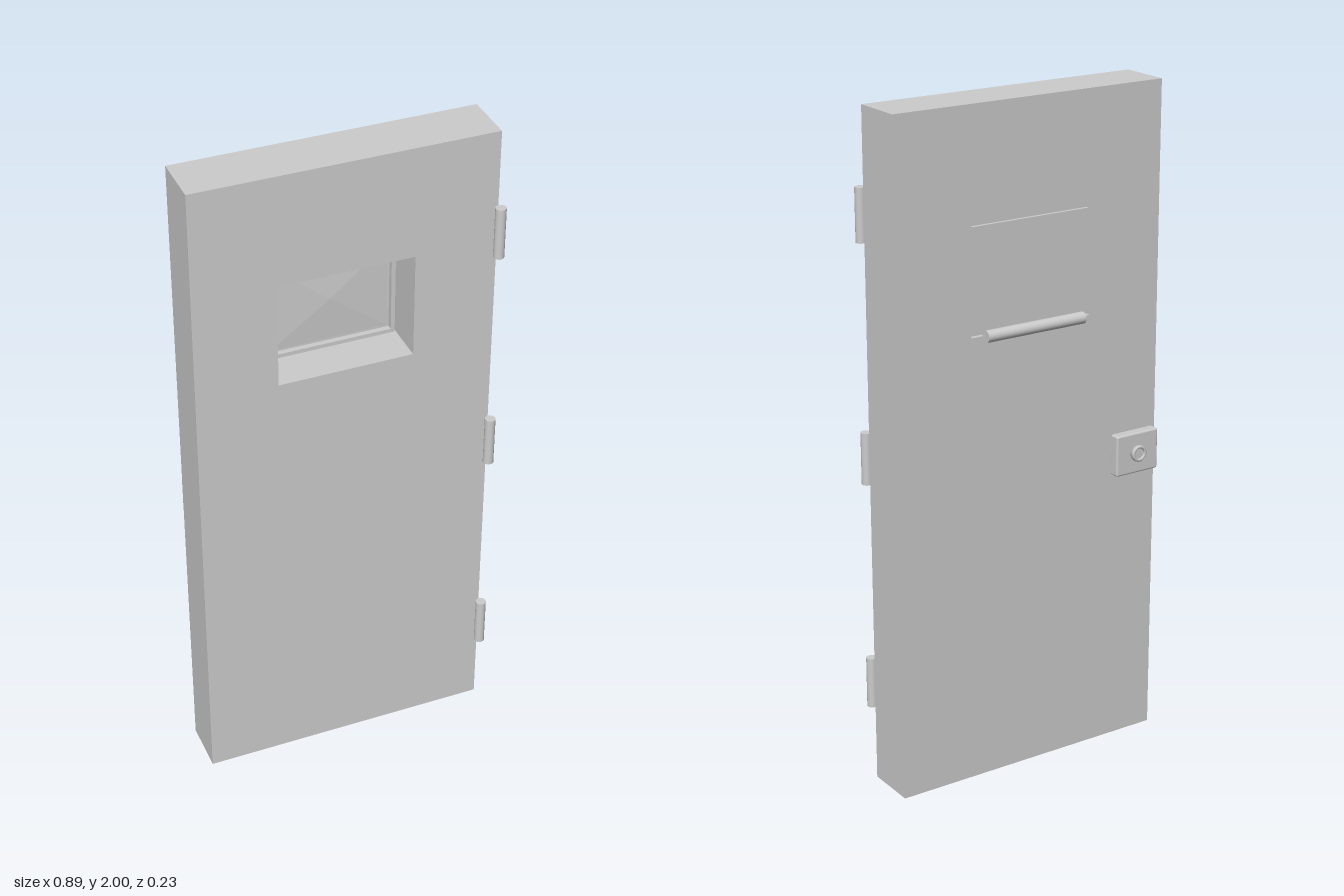
import * as THREE from 'three';
import { RoundedBoxGeometry } from 'three/addons/geometries/RoundedBoxGeometry.js';

const grey = new THREE.MeshStandardMaterial({ color: 0xcccccc });
const flat = new THREE.MeshStandardMaterial({ color: 0xcccccc, flatShading: true });

function add(parent, name, geometry, x, y, z, material = grey) {
  const mesh = new THREE.Mesh(geometry, material);
  mesh.name = name;
  mesh.position.set(x, y, z);
  parent.add(mesh);
  return mesh;
}

// Traces a rectangle into a Shape or Path
function rect(path, x0, y0, x1, y1) {
  path.moveTo(x0, y0);
  path.lineTo(x1, y0);
  path.lineTo(x1, y1);
  path.lineTo(x0, y1);
  path.closePath();
  return path;
}

// Rectangular slab with a rectangular opening, back face on z = 0
function slabWithOpening(outer, inner, depth) {
  const shape = rect(new THREE.Shape(), ...outer);
  shape.holes.push(rect(new THREE.Path(), ...inner));
  return new THREE.ExtrudeGeometry(shape, { depth, bevelEnabled: false });
}

export function createModel() {
  const door = new THREE.Group();
  door.name = 'door';

  // Thick leaf with the hatch opening cut through it
  const opening = [-0.208, 1.352, 0.19, 1.668];
  add(door, 'doorLeaf', slabWithOpening([-0.447, 0, 0.43, 2], opening, 0.158), 0, 0, -0.075);

  // Hatch at the back of the opening: plate, raised rim and shallow pyramid panel
  const hatch = new THREE.Group();
  hatch.name = 'hatch';
  door.add(hatch);
  const cx = -0.009, cy = 1.51;
  add(hatch, 'hatchPlate', new THREE.BoxGeometry(0.388, 0.308, 0.025), cx, cy, -0.0595);
  add(hatch, 'hatchRim', slabWithOpening([-0.201, 1.358, 0.183, 1.662], [-0.189, 1.37, 0.171, 1.65], 0.016), 0, 0, -0.047);
  const pyramid = new THREE.ConeGeometry(Math.SQRT1_2, 1, 4, 1, true);
  pyramid.rotateY(Math.PI / 4).rotateX(Math.PI / 2).scale(0.346, 0.266, 0.008);
  add(hatch, 'hatchPanel', pyramid, cx, cy, -0.042, flat);

  // Round bar along the bottom of the hatch
  const bar = new THREE.CylinderGeometry(0.0175, 0.0175, 0.327, 24).rotateZ(Math.PI / 2);
  add(hatch, 'hatchBar', bar, -0.0085, 1.355, -0.0925);

  // Hinge knuckles on the front left edge
  for (const y of [0.305, 0.998, 1.698]) {
    add(door, 'hinge', new THREE.CylinderGeometry(0.0155, 0.0155, 0.154, 24), 0.4305, y, 0.099);
  }

  // Lock box with key cylinder on the back
  const lock = new THREE.Group();
  lock.name = 'lock';
  lock.position.set(-0.366, 0.911, 0);
  door.add(lock);
  add(lock, 'lockBox', new RoundedBoxGeometry(0.148, 0.125, 0.034, 3, 0.006), 0, 0, -0.087);
  const ring = [[0.016, 0], [0.025, 0], [0.025, 0.011], [0.022, 0.014], [0.018, 0.014], [0.016, 0.011], [0.016, 0]];
  const collar = new THREE.LatheGeometry(ring.map(([r, h]) => new THREE.Vector2(r, h)), 32).rotateX(-Math.PI / 2);
  add(lock, 'keyCollar', collar, 0, 0, -0.103);
  const core = new THREE.CylinderGeometry(0.016, 0.016, 0.012, 32).rotateX(Math.PI / 2);
  add(lock, 'keyCore', core, 0, 0, -0.105);
  add(lock, 'keySlot', new THREE.BoxGeometry(0.005, 0.018, 0.003), 0, 0, -0.1115);

  return door;
}
